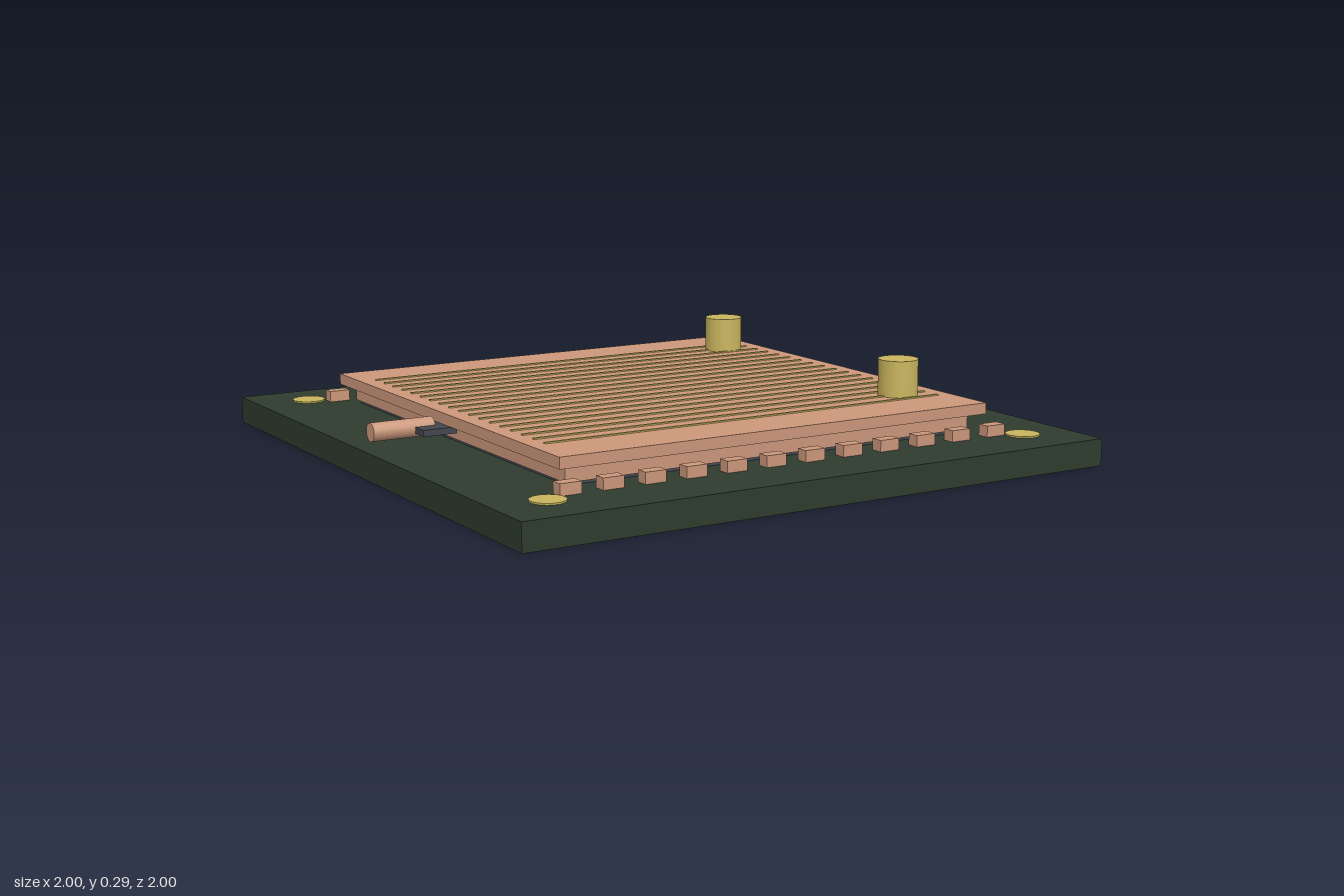
import * as THREE from 'three';

export function createModel() {
  const model = new THREE.Group();
  const mat = (name, color) => {
    const m = new THREE.MeshStandardMaterial({ color });
    m.name = name;
    return m;
  };
  const green = mat('board green', 0x2d3b2d);
  const copper = mat('copper', 0xcb977a);
  const gold = mat('gold', 0xc9b55e);
  const dark = mat('dark grey', 0x44464f);

  const add = (name, geo, material, x, y, z) => {
    const m = new THREE.Mesh(geo, material);
    m.name = name;
    m.position.set(x, y, z);
    model.add(m);
    return m;
  };
  // Box given by its size and its bottom height
  const box = (name, material, w, h, d, x, bottom, z) =>
    add(name, new THREE.BoxGeometry(w, h, d), material, x, bottom + h / 2, z);

  // Board with flat pads at its corners
  box('board', green, 2, 0.085, 2, 0, 0, 0);
  for (const x of [-0.83, 0.83]) for (const z of [-0.83, 0.83])
    add('cornerPad', new THREE.CylinderGeometry(0.053, 0.053, 0.006, 24), gold, x, 0.087, z);

  // Stacked plates
  box('chipLayer', dark, 1.4, 0.01, 1.4, 0, 0.085, 0);
  box('lowerPlate', copper, 1.42, 0.04, 1.42, 0, 0.095, 0);
  box('middleLayer', dark, 1.42, 0.004, 1.42, 0, 0.135, 0);
  box('upperPlate', copper, 1.5, 0.035, 1.5, 0, 0.145, 0);

  // Small spacers in the gap between the plates
  const spacer = new THREE.BoxGeometry(0.016, 0.007, 0.016);
  for (let i = 0; i < 12; i++) for (let j = 0; j < 12; j++)
    add('spacer', spacer, dark, (i - 5.5) * 0.12, 0.142, (j - 5.5) * 0.12);

  // Fine gold lines on the top plate
  for (let i = 0; i < 18; i++)
    box('channelLine', gold, 1.4, 0.004, 0.01, 0, 0.18, (i - 8.5) * 0.0675);

  // Upright ports
  for (const z of [-0.5, 0.5])
    add('port', new THREE.CylinderGeometry(0.063, 0.063, 0.115, 24), gold, 0.6, 0.2375, z);

  // Rows of contact blocks along the front and back
  for (const z of [-0.785, 0.785])
    for (let i = 0; i < 12; i++)
      box('contactBlock', copper, 0.068, 0.035, 0.04, (i - 5.5) * 0.1355, 0.085, z);

  // Side connector and its pin
  box('connectorBlock', dark, 0.11, 0.02, 0.16, -0.785, 0.125, 0);
  const pin = add('connectorPin', new THREE.CylinderGeometry(0.029, 0.029, 0.2, 16), copper, -0.875, 0.139, -0.004);
  pin.rotation.z = Math.PI / 2;

  return model;
}
